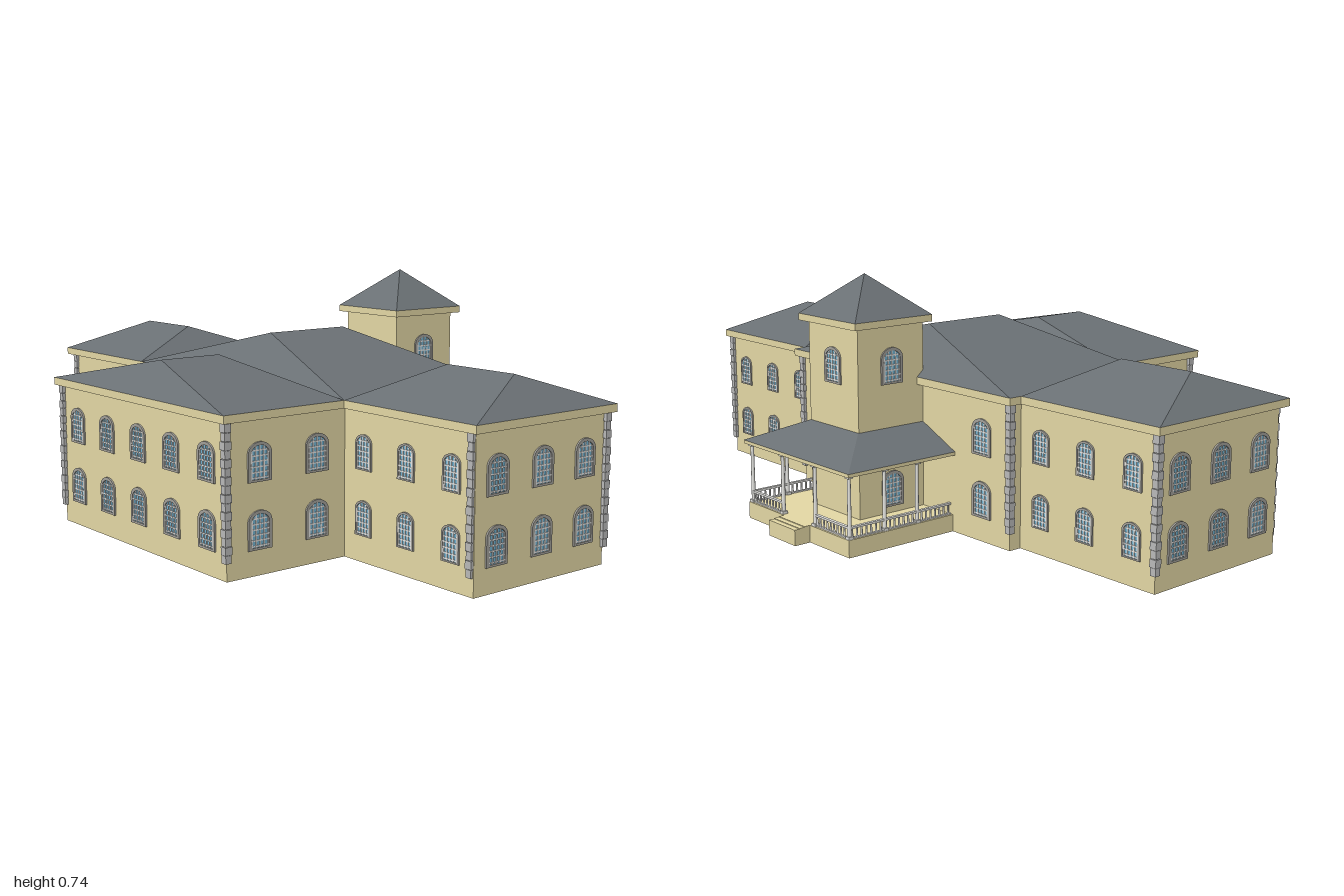
import * as THREE from 'three';
import { ConvexGeometry } from 'three/addons/geometries/ConvexGeometry.js';
import { mergeGeometries } from 'three/addons/utils/BufferGeometryUtils.js';

const mat = (name, color) => {
  const m = new THREE.MeshStandardMaterial({ color });
  m.name = name;
  return m;
};
const wallMat = mat('sandstone', 0xe4d8a5);
const roofMat = mat('slate', 0x6a7074);
const quoinMat = mat('quoinGrey', 0xbababa);
const frameMat = mat('frameGrey', 0xa3a19b);
const glassMat = mat('glassBlue', 0x74b4d2);
const barMat = mat('barWhite', 0xf4f4f2);
const porchMat = mat('porchWhite', 0xe6e6e2);

export function createModel() {
  const model = new THREE.Group();
  model.name = 'villa';

  const add = (name, geo, material, parent = model) => {
    const m = new THREE.Mesh(geo, material);
    m.name = name;
    parent.add(m);
    return m;
  };
  // Wall-coloured box from its lower and upper limits
  const block = (name, x0, x1, y0, y1, z0, z1) =>
    add(name, new THREE.BoxGeometry(x1 - x0, y1 - y0, z1 - z0)
      .translate((x0 + x1) / 2, (y0 + y1) / 2, (z0 + z1) / 2), wallMat);
  // Hipped roof over a rectangle, with its ridge (or flat top) given as points
  const roof = (name, x0, x1, z0, z1, y, top) => {
    const pts = [[x0, y, z0], [x1, y, z0], [x1, y, z1], [x0, y, z1], ...top];
    add(name, new ConvexGeometry(pts.map((p) => new THREE.Vector3(...p))), roofMat);
  };
  const eave = 0.437;

  // Main hall
  block('mainWalls', -0.49, 0.49, 0, 0.42, -0.26, 0.267);
  block('mainCornice', -0.51, 0.51, 0.415, eave, -0.281, 0.287);
  roof('mainRoof', -0.51, 0.51, -0.281, 0.287, eave, [[0, 0.565, -0.138], [0, 0.565, 0.146]]);

  // Front block
  block('frontWalls', -0.345, 0.49, 0, 0.42, 0.2, 0.66);
  block('frontCornice', -0.365, 0.51, 0.415, eave, 0.287, 0.68);
  roof('frontRoof', -0.365, 0.51, 0.287, 0.68, eave, [[0.07, 0.525, 0.385], [0.07, 0.525, 0.58]]);

  // Side wings
  for (const s of [-1, 1]) {
    const [a, b] = s < 0 ? [-1, -0.51] : [0.51, 1];
    const [wa, wb] = s < 0 ? [-0.98, -0.48] : [0.48, 0.98];
    block('wingWalls', wa, wb, 0, 0.42, -0.22, 0.267);
    block('wingCornice', a, b, 0.415, eave, -0.24, 0.287);
    roof('wingRoof', a, b, -0.24, 0.287, eave, [[s * 0.63, 0.525, 0.023], [s * 0.875, 0.525, 0.023]]);
  }

  // Tower
  block('towerWalls', -0.117, 0.117, 0, 0.6, -0.493, -0.259);
  block('towerCornice', -0.137, 0.137, 0.598, 0.618, -0.515, -0.24);
  roof('towerRoof', -0.137, 0.137, -0.515, -0.24, 0.618, [[0, 0.735, -0.378]]);

  // Porch floor, eave and skirt roof
  block('porchFloor', -0.25, 0.25, 0, 0.05, -0.63, -0.25);
  block('porchEave', -0.26, 0.26, 0.228, 0.238, -0.636, -0.255);
  roof('porchRoof', -0.26, 0.26, -0.636, -0.255, 0.238,
    [[-0.117, 0.303, -0.495], [0.117, 0.303, -0.495], [0.117, 0.303, -0.255], [-0.117, 0.303, -0.255]]);

  // Landing with slightly stepped treads
  for (let i = 0; i < 3; i++) {
    block('step', -0.065, 0.065, 0, 0.05 - i * 0.002, -0.648 - i * 0.0165, -0.62);
  }

  // Porch columns
  const columns = [[0.24, -0.385], [0.24, -0.5], [0.24, -0.62], [0.08, -0.62]];
  for (const s of [-1, 1]) {
    for (const [x, z] of columns) {
      const col = mergeGeometries([
        new THREE.CylinderGeometry(0.005, 0.006, 0.18, 10).translate(0, 0.14, 0),
        new THREE.BoxGeometry(0.017, 0.008, 0.017).translate(0, 0.054, 0),
        new THREE.BoxGeometry(0.017, 0.008, 0.017).translate(0, 0.225, 0),
      ]);
      add('porchColumn', col, porchMat).position.set(s * x, 0, z);
    }
  }

  // Railings: a rail over evenly spaced balusters
  const railing = (x0, z0, x1, z1) => {
    const len = Math.hypot(x1 - x0, z1 - z0);
    const n = Math.round(len / 0.016);
    const parts = [
      new THREE.BoxGeometry(len, 0.006, 0.01).translate(0, 0.082, 0),
      new THREE.BoxGeometry(len, 0.004, 0.008).translate(0, 0.052, 0),
    ];
    for (let i = 0; i < n; i++) {
      parts.push(new THREE.CylinderGeometry(0.0025, 0.0035, 0.03, 6)
        .translate(((i + 0.5) / n - 0.5) * len, 0.066, 0));
    }
    const r = add('railing', mergeGeometries(parts), porchMat);
    r.position.set((x0 + x1) / 2, 0, (z0 + z1) / 2);
    r.rotation.y = Math.atan2(z0 - z1, x1 - x0);
  };
  for (const s of [-1, 1]) {
    railing(s * 0.24, -0.62, s * 0.24, -0.262);
    railing(s * 0.08, -0.62, s * 0.24, -0.62);
  }

  // Corner quoins: a column of stones; those on the wing fronts sit inside the corner
  const corners = [[-0.345, 0.66], [0.49, 0.66]];
  for (const s of [-1, 1]) corners.push([s * 0.968, 0.265], [s * 0.98, -0.22], [s * 0.49, -0.26]);
  for (const [x, z] of corners) {
    const stones = [];
    for (let i = 0; i < 16; i++) {
      const w = i % 2 ? 0.021 : 0.018;
      stones.push(new THREE.BoxGeometry(w, 0.0215, w).translate(0, 0.061 + i * 0.0227, 0));
    }
    add('quoins', mergeGeometries(stones), quoinMat).position.set(x, 0, z);
  }

  // Arched outline, standing on y = b
  const arch = (Path, w, h, b) => {
    const p = new Path(), r = w / 2, spring = h - r * 0.8;
    p.moveTo(-r, b);
    p.lineTo(r, b);
    p.lineTo(r, spring);
    p.absellipse(0, spring, r, r * 0.8, 0, Math.PI, false);
    p.lineTo(-r, b);
    return p;
  };
  // Window geometries for one size: surround, pane and glazing bars
  const windowSet = (w, h, t) => {
    const outer = arch(THREE.Shape, w, h, 0);
    outer.holes.push(arch(THREE.Path, w - 2 * t, h - t, t * 0.7));
    const frame = new THREE.ExtrudeGeometry(outer, { depth: 0.005, bevelEnabled: false, curveSegments: 10 });
    const pane = new THREE.ShapeGeometry(arch(THREE.Shape, w - 2 * t, h - t, t * 0.7), 10).translate(0, 0, 0.002);
    const iw = w - 2 * t, ih = h - t, bars = [];
    for (let i = -2; i <= 2; i++) {
      const bx = i * iw / 4.4, top = ih - (Math.abs(i) === 2 ? iw * 0.24 : Math.abs(i) * 0.003);
      bars.push(new THREE.BoxGeometry(0.0036, top - t * 0.7, 0.002).translate(bx, (top + t * 0.7) / 2, 0.003));
    }
    for (let j = 0; j < 6; j++) {
      bars.push(new THREE.BoxGeometry(iw * (j === 5 ? 0.8 : 1), 0.0036, 0.002)
        .translate(0, t * 0.7 + (j + 0.3) * (ih - t) / 6, 0.003));
    }
    return { frame, pane, bars: mergeGeometries(bars) };
  };
  const large = windowSet(0.076, 0.105, 0.009);
  const small = windowSet(0.062, 0.097, 0.006);
  const FRONT = 0, BACK = Math.PI, LEFT = Math.PI / 2, RIGHT = -Math.PI / 2;
  const addWindow = (set, x, y, z, turn) => {
    const g = new THREE.Group();
    g.name = 'window';
    add('windowSurround', set.frame, frameMat, g);
    add('windowPane', set.pane, glassMat, g);
    add('glazingBars', set.bars, barMat, g);
    g.position.set(x, y, z);
    g.rotation.y = turn;
    model.add(g);
  };

  // Two storeys of windows
  for (const y of [0.07, 0.25]) {
    for (let i = 0; i < 5; i++) addWindow(large, -0.26 + i * 0.1663, y, 0.66, FRONT);
    for (const z of [0.555, 0.365]) {
      addWindow(large, 0.49, y, z, LEFT);
      addWindow(large, -0.345, y, z, RIGHT);
    }
    for (const s of [-1, 1]) {
      for (const x of [0.57, 0.735, 0.9]) {
        addWindow(small, s * x, y + 0.004, 0.267, FRONT);
        addWindow(small, s * x, y + 0.004, -0.22, BACK);
      }
      for (const z of [0.19, 0.025, -0.137]) addWindow(large, s * 0.98, y, z, s > 0 ? LEFT : RIGHT);
      addWindow(large, s * 0.375, y, -0.26, BACK);
    }
  }
  // Tower windows
  for (const y of [0.07, 0.43]) {
    addWindow(large, 0.117, y, -0.375, LEFT);
    addWindow(large, -0.117, y, -0.375, RIGHT);
  }
  addWindow(large, 0, 0.43, -0.493, BACK);

  return model;
}
